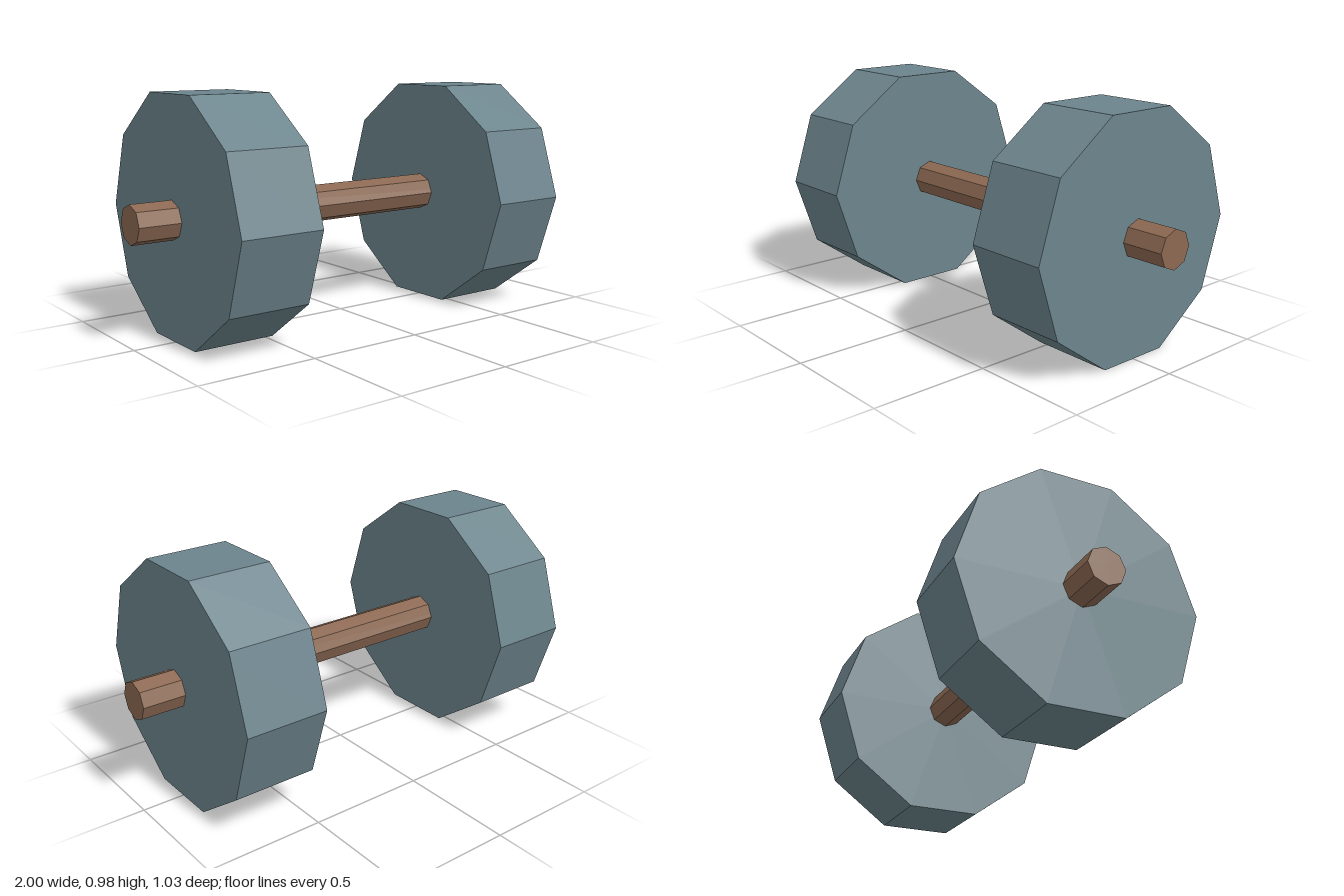
import * as THREE from 'three';

const AXIS_Y = 0.492;

export function createModel() {
  const model = new THREE.Group();
  model.name = 'dumbbell';

  const slate = new THREE.MeshStandardMaterial({ color: 0x6c848c, flatShading: true });
  slate.name = 'slate blue';
  const brown = new THREE.MeshStandardMaterial({ color: 0x8b6852, flatShading: true });
  brown.name = 'brown';

  // Faceted cylinder lying along x, with a corner pointing to +z
  const addPrism = (name, radius, length, sides, x, material) => {
    const geometry = new THREE.CylinderGeometry(radius, radius, length, sides);
    geometry.rotateZ(Math.PI / 2);
    const mesh = new THREE.Mesh(geometry, material);
    mesh.name = name;
    mesh.position.set(x, AXIS_Y, 0);
    model.add(mesh);
  };

  // Octagonal handle running through both weights
  addPrism('handleBar', 0.08, 2, 8, 0, brown);

  // Ten-sided weights
  addPrism('leftWeight', 0.517, 0.354, 10, 0.643, slate);
  addPrism('rightWeight', 0.517, 0.354, 10, -0.645, slate);

  return model;
}
